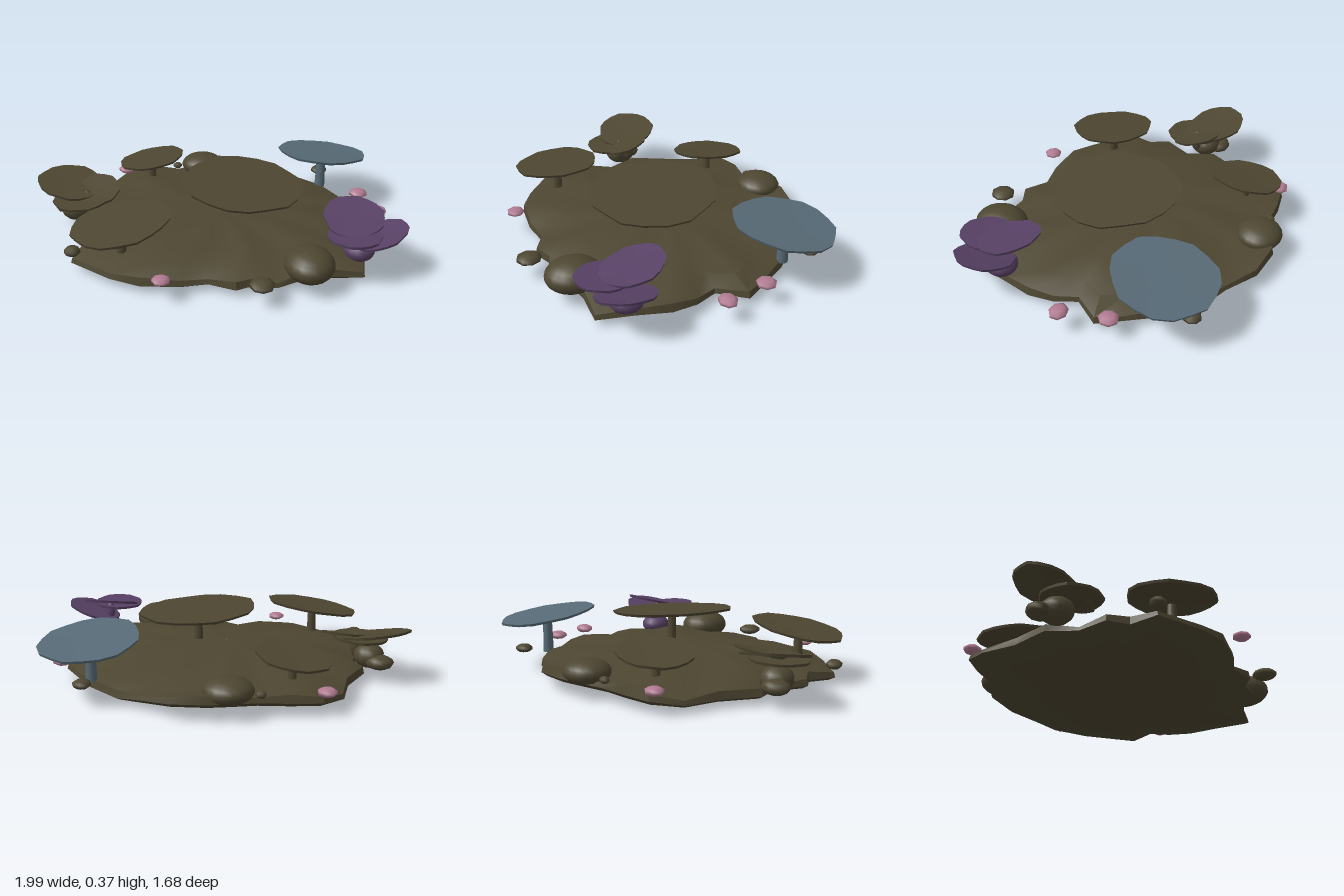
import * as THREE from 'three';
import { toCreasedNormals } from 'three/addons/utils/BufferGeometryUtils.js';

const mat = (name, color) => Object.assign(new THREE.MeshStandardMaterial({ color }), { name });

export function createModel() {
  const model = new THREE.Group();
  model.name = 'reef';
  const brown = mat('brown coral', 0x4d4631);
  const blue = mat('blue coral', 0x576a76);
  const purple = mat('purple coral', 0x574064);
  const pink = mat('pink coral', 0xb07a90);

  const add = (name, geometry, material, x = 0, y = 0, z = 0) => {
    const mesh = new THREE.Mesh(geometry, material);
    mesh.name = name;
    mesh.position.set(x, y, z);
    model.add(mesh);
    return mesh;
  };

  // Reef bed: one ragged outline [x, z], repeated as rings from underside to crown
  const outline = [
    [0.77, -0.02], [0.82, 0.1], [0.83, 0.24], [0.78, 0.42], [0.74, 0.61], [0.55, 0.6],
    [0.4, 0.63], [0.28, 0.69], [0.17, 0.66], [0.07, 0.7], [-0.07, 0.63], [-0.22, 0.65],
    [-0.42, 0.63], [-0.57, 0.55], [-0.78, 0.37], [-0.72, 0.22], [-0.79, 0.12], [-0.72, -0.04],
    [-0.76, -0.2], [-0.65, -0.4], [-0.61, -0.59], [-0.5, -0.72], [-0.34, -0.74], [-0.18, -0.73],
    [-0.04, -0.79], [0.07, -0.83], [0.26, -0.8], [0.4, -0.68], [0.54, -0.61], [0.7, -0.45],
    [0.8, -0.29], [0.88, -0.16],
  ];
  // Each ring: [scale, height, surface ripple]
  const rings = [[0.001, 0, 0], [0.5, 0.01, 0], [0.96, 0.028, 0], [1, 0.045, 0], [0.99, 0.08, 0.012],
    [0.86, 0.115, 0.012], [0.66, 0.14, 0.01], [0.4, 0.16, 0.006], [0.001, 0.17, 0]];
  const n = outline.length, pos = [], index = [];
  rings.forEach(([s, h, ripple], i) => {
    outline.forEach(([x, z], j) => {
      const backRise = i < 5 ? Math.max(0, -z * s - 0.62) * 0.25 : 0;
      pos.push(x * s, h + backRise + ripple * Math.sin(j * 1.9 + i), z * s);
      if (i < rings.length - 1) {
        const a = i * n + j, b = i * n + (j + 1) % n, c = b + n, d = a + n;
        index.push(a, d, b, b, d, c);
      }
    });
  });
  const bed = new THREE.BufferGeometry();
  bed.setAttribute('position', new THREE.Float32BufferAttribute(pos, 3));
  bed.setIndex(index);
  add('reefBed', toCreasedNormals(bed, 0.7), brown);

  // Coral plate: shallow saucer with a wavy rim, sheared to its slope
  const plate = (name, material, [x, y, z], rx, rz, slopeX, slopeZ, depth, seed) => {
    const profile = [[0, -depth], [0.35, -depth * 0.85], [0.98, -0.014], [1, 0], [0.5, -0.003], [0, -0.005]]
      .map(([r, h]) => new THREE.Vector2(r, h));
    const g = new THREE.LatheGeometry(profile, 18);
    const p = g.attributes.position;
    for (let i = 0; i < p.count; i++) {
      const t = Math.atan2(p.getZ(i), p.getX(i));
      const k = 0.97 + 0.025 * Math.sin(3 * t + seed) + 0.025 * Math.sin(7 * t + seed * 2);
      const px = p.getX(i) * rx * k, pz = p.getZ(i) * rz * k;
      p.setXYZ(i, px, p.getY(i) + slopeX * px + slopeZ * pz, pz);
    }
    add(name, toCreasedNormals(g, 0.6), material, x, y, z);
  };

  // Table corals: a plate on a single stem
  const table = (name, material, at, rx, rz, slopeX, slopeZ, depth, stem, seed) => {
    plate(name + 'Plate', material, at, rx, rz, slopeX, slopeZ, depth, seed);
    const top = at[1] - depth * 0.7, bottom = 0.08;
    add(name + 'Stem', new THREE.CylinderGeometry(stem * 0.9, stem * 1.1, top - bottom, 10),
      material, at[0], (top + bottom) / 2, at[2]);
  };
  table('centreTable', brown, [0.16, 0.342, 0.05], 0.34, 0.365, -0.065, -0.03, 0.04, 0.025, 1);
  table('blueTable', blue, [0.69, 0.31, -0.455], 0.27, 0.28, -0.08, 0.13, 0.045, 0.028, 2);
  table('leftTable', brown, [-0.51, 0.283, 0.385], 0.27, 0.24, 0.16, -0.06, 0.045, 0.026, 3);
  table('backTable', brown, [-0.35, 0.262, -0.535], 0.2, 0.21, 0.17, 0.08, 0.04, 0.022, 4);

  // Clusters of overlapping plates
  plate('leftClusterUpperPlate', brown, [-0.815, 0.27, -0.18], 0.19, 0.175, -0.12, -0.18, 0.018, 5);
  plate('leftClusterLowerPlate', brown, [-0.75, 0.222, -0.07], 0.16, 0.17, 0.05, -0.04, 0.018, 6);
  plate('leftClusterInnerPlate', brown, [-0.66, 0.25, -0.11], 0.13, 0.14, 0.1, -0.25, 0.018, 7);
  plate('purpleUpperPlate', purple, [0.71, 0.292, 0.4], 0.165, 0.17, 0.04, -0.25, 0.016, 8);
  plate('purpleOuterPlate', purple, [0.83, 0.225, 0.48], 0.155, 0.16, 0.32, 0.05, 0.016, 9);
  plate('purpleFrontPlate', purple, [0.69, 0.255, 0.545], 0.145, 0.145, 0.03, 0.05, 0.016, 10);

  // Rounded lumps: [name, material, x, y, z, rx, ry, rz, sides]
  [
    ['frontBoulder', brown, 0.45, 0.135, 0.615, 0.13, 0.087, 0.15, 18],
    ['backBoulder', brown, -0.03, 0.135, -0.72, 0.13, 0.067, 0.125, 18],
    ['purpleBoulder', purple, 0.74, 0.12, 0.445, 0.085, 0.062, 0.09, 16],
    ['leftClusterBoulder', brown, -0.79, 0.13, -0.13, 0.085, 0.07, 0.09, 14],
    ['leftClusterKnob', brown, -0.84, 0.11, -0.2, 0.08, 0.04, 0.07, 9],
    ['leftClusterCore', brown, -0.72, 0.18, -0.1, 0.03, 0.07, 0.03, 9],
    ['purpleCore', purple, 0.73, 0.21, 0.45, 0.025, 0.06, 0.025, 9],
    ['frontPebble', brown, 0.19, 0.115, 0.77, 0.065, 0.03, 0.07, 8],
    ['leftPebble', brown, -0.77, 0.115, 0.37, 0.045, 0.028, 0.045, 8],
    ['backPebble', brown, -0.19, 0.12, -0.735, 0.028, 0.02, 0.025, 8],
    ['rightPebble', brown, 0.71, 0.12, -0.61, 0.05, 0.025, 0.05, 8],
    ['pinkPolypBack', pink, -0.515, 0.12, -0.695, 0.053, 0.025, 0.05, 7],
    ['pinkPolypRight', pink, 0.885, 0.12, -0.245, 0.055, 0.025, 0.055, 7],
    ['pinkPolypOuter', pink, 0.94, 0.12, 0, 0.058, 0.026, 0.05, 7],
    ['pinkPolypFront', pink, -0.305, 0.12, 0.705, 0.05, 0.022, 0.05, 7],
  ].forEach(([name, material, x, y, z, rx, ry, rz, sides]) => {
    add(name, new THREE.SphereGeometry(1, sides, Math.ceil(sides * 0.6)), material, x, y, z).scale.set(rx, ry, rz);
  });

  return model;
}
